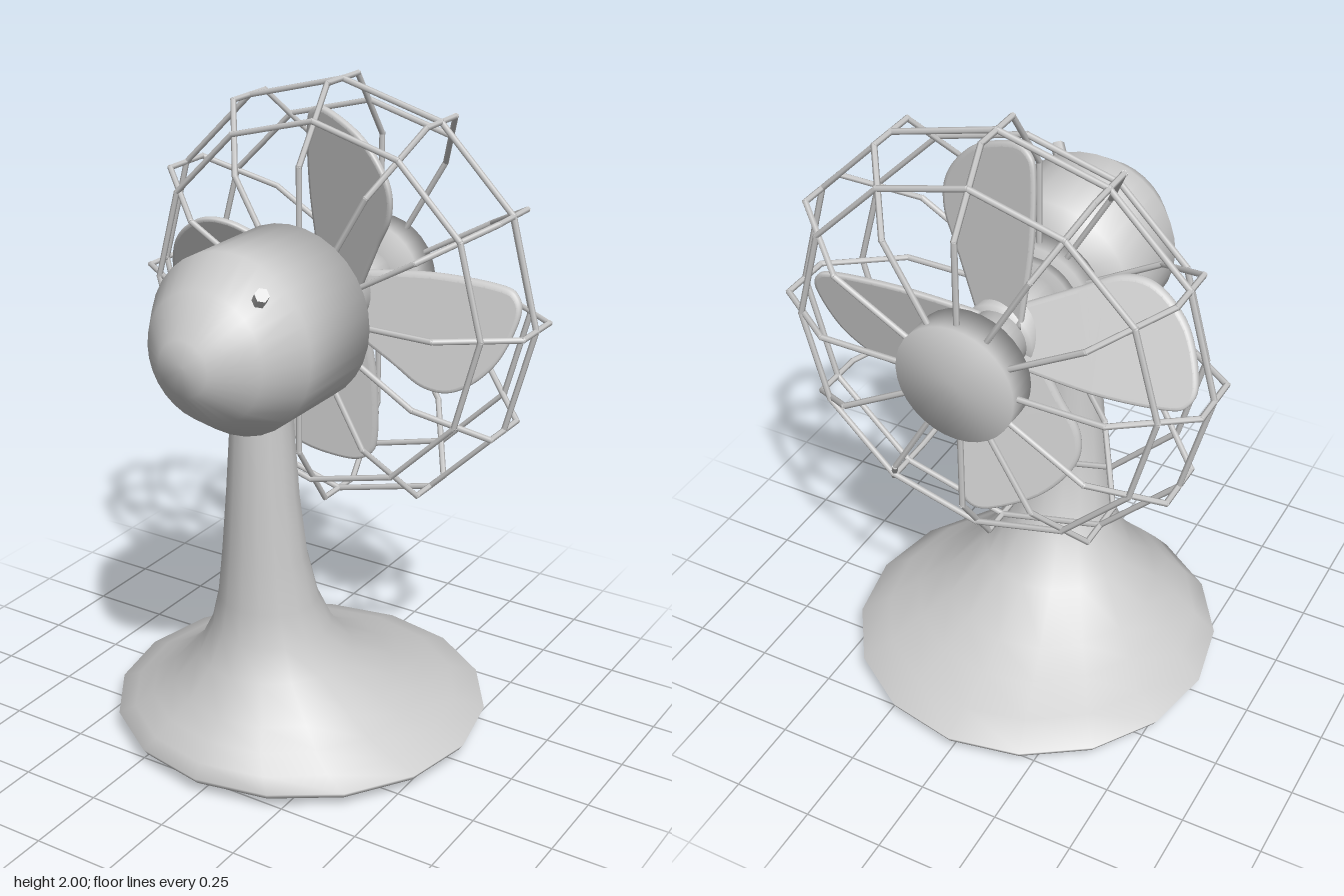
import * as THREE from 'three';
import { mergeGeometries, mergeVertices } from 'three/addons/utils/BufferGeometryUtils.js';

const material = new THREE.MeshStandardMaterial({ color: 0xcccccc });
const AXIS_Y = 1.34;

function part(name, geometry) {
  const mesh = new THREE.Mesh(geometry, material);
  mesh.name = name;
  return mesh;
}

// Weld a geometry and give it smooth normals.
function smooth(geometry) {
  geometry.deleteAttribute('normal');
  geometry.deleteAttribute('uv');
  const welded = mergeVertices(geometry, 1e-4);
  welded.computeVertexNormals();
  return welded;
}

// Solid turned about the z axis from [radius, z] pairs, back to front.
function turned(profile, y) {
  const points = profile.map(([r, z]) => new THREE.Vector2(r, z));
  return new THREE.LatheGeometry(points, 32).rotateX(Math.PI / 2).translate(0, y, 0);
}

const drum = (r, back, front) => turned([[0, back], [r, back], [r, front], [0, front]], AXIS_Y);

// Straight wire between two points.
function wire(a, b, radius = 0.009) {
  const dir = b.clone().sub(a);
  const g = new THREE.CylinderGeometry(radius, radius, dir.length() + radius, 6);
  g.applyQuaternion(new THREE.Quaternion().setFromUnitVectors(
    new THREE.Vector3(0, 1, 0), dir.clone().normalize()));
  const mid = a.clone().add(b).multiplyScalar(0.5);
  return g.translate(mid.x, mid.y, mid.z);
}

// Flared foot and neck: sections of [y, half width, back z, front z].
function standGeometry() {
  const sections = [
    [0, 0, 0, 0], [0.015, 0.38, -0.38, 0.38], [0.04, 0.57, -0.58, 0.57],
    [0.06, 0.583, -0.59, 0.583], [0.1, 0.5, -0.49, 0.555], [0.15, 0.42, -0.37, 0.51],
    [0.2, 0.345, -0.265, 0.455], [0.3, 0.24, -0.1, 0.385], [0.4, 0.185, -0.02, 0.345],
    [0.5, 0.155, 0.035, 0.33], [0.65, 0.132, 0.08, 0.32], [0.85, 0.112, 0.107, 0.31],
    [1.09, 0.095, 0.12, 0.3], [1.2, 0.09, 0.125, 0.295],
  ];
  const n = sections.length;
  const g = new THREE.LatheGeometry(sections.map((s) => new THREE.Vector2(s[1] ? 1 : 0, s[0])), 16);
  const p = g.attributes.position;
  for (let i = 0; i < p.count; i++) {
    const [y, halfWidth, back, front] = sections[i % n];
    p.setXYZ(i, p.getX(i) * halfWidth, y, (back + front) / 2 + p.getZ(i) * (front - back) / 2);
  }
  return smooth(g);
}

// Rounded blade pointing up, pitched by shearing it across its width.
function bladeGeometry() {
  const outline = [
    [-0.06, 0.06], [-0.08, 0.3], [-0.073, 0.5], [-0.05, 0.56], [0.01, 0.565], [0.13, 0.51],
    [0.21, 0.41], [0.215, 0.31], [0.16, 0.2], [0.09, 0.06],
  ].map(([x, y]) => new THREE.Vector2(x, y));
  const shape = new THREE.Shape();
  shape.moveTo(outline[0].x, outline[0].y);
  shape.splineThru(outline.slice(1));
  const g = new THREE.ExtrudeGeometry(shape, {
    depth: 0.008, bevelThickness: 0.01, bevelSize: 0.012, bevelSegments: 3, steps: 1, curveSegments: 36,
  });
  const p = g.attributes.position;
  for (let i = 0; i < p.count; i++) {
    p.setZ(i, p.getZ(i) - 0.004 + 0.38 * (p.getX(i) - 0.05));
  }
  return smooth(g);
}

// Twelve-sided wire guard: bent ribs joined by three hoops.
function cageGeometry() {
  const sides = 12;
  const rib = [
    [0.18, 0.01], [0.44, 0.01], [0.65, -0.14], [0.65, -0.31], [0.44, -0.46], [0.18, -0.46],
  ];
  const hoops = [[0.557, -0.06], [0.65, -0.225], [0.557, -0.385]];
  const at = (i, [r, z]) => {
    const a = (i / sides) * Math.PI * 2;
    return new THREE.Vector3(r * Math.sin(a), AXIS_Y + r * Math.cos(a), z);
  };
  const wires = [];
  for (let i = 0; i < sides; i++) {
    for (let j = 0; j < rib.length - 1; j++) wires.push(wire(at(i, rib[j]), at(i, rib[j + 1])));
    for (const hoop of hoops) wires.push(wire(at(i, hoop), at(i + 1, hoop)));
  }
  return mergeGeometries(wires);
}

export function createModel() {
  const fan = new THREE.Group();
  fan.name = 'deskFan';

  fan.add(part('stand', standGeometry()));

  // Motor housing with its tapered end
  fan.add(part('motorHousing', turned([
    [0, 0.06], [0.268, 0.06], [0.268, 0.37], [0.19, 0.49], [0.08, 0.588], [0, 0.59],
  ], 1.357)));

  // Small switch on the housing
  const outward = new THREE.Vector3(0.55, 0.55, 0.6).normalize().multiplyScalar(0.032);
  const knobAt = new THREE.Vector3(0.155, 1.54, 0.445);
  fan.add(part('switchKnob', wire(knobAt.clone().sub(outward), knobAt.clone().add(outward), 0.021)));

  // Drums along the fan axis
  fan.add(part('collar', drum(0.18, -0.02, 0.07)));
  fan.add(part('collarStep', drum(0.148, -0.05, -0.01)));
  fan.add(part('hub', drum(0.11, -0.24, -0.04)));
  fan.add(part('shaft', drum(0.092, -0.4, -0.23)));
  fan.add(part('endCap', drum(0.183, -0.485, -0.385)));

  // Four blades on a slightly tilted rotor
  const rotor = new THREE.Group();
  rotor.name = 'rotor';
  rotor.position.set(0, AXIS_Y, -0.2);
  rotor.rotation.set(0.13, 0.09, 0);
  const blade = bladeGeometry();
  for (let i = 0; i < 4; i++) {
    const mesh = part('blade', blade);
    mesh.rotation.z = (i * Math.PI) / 2;
    rotor.add(mesh);
  }
  fan.add(rotor);

  fan.add(part('cage', cageGeometry()));
  return fan;
}
